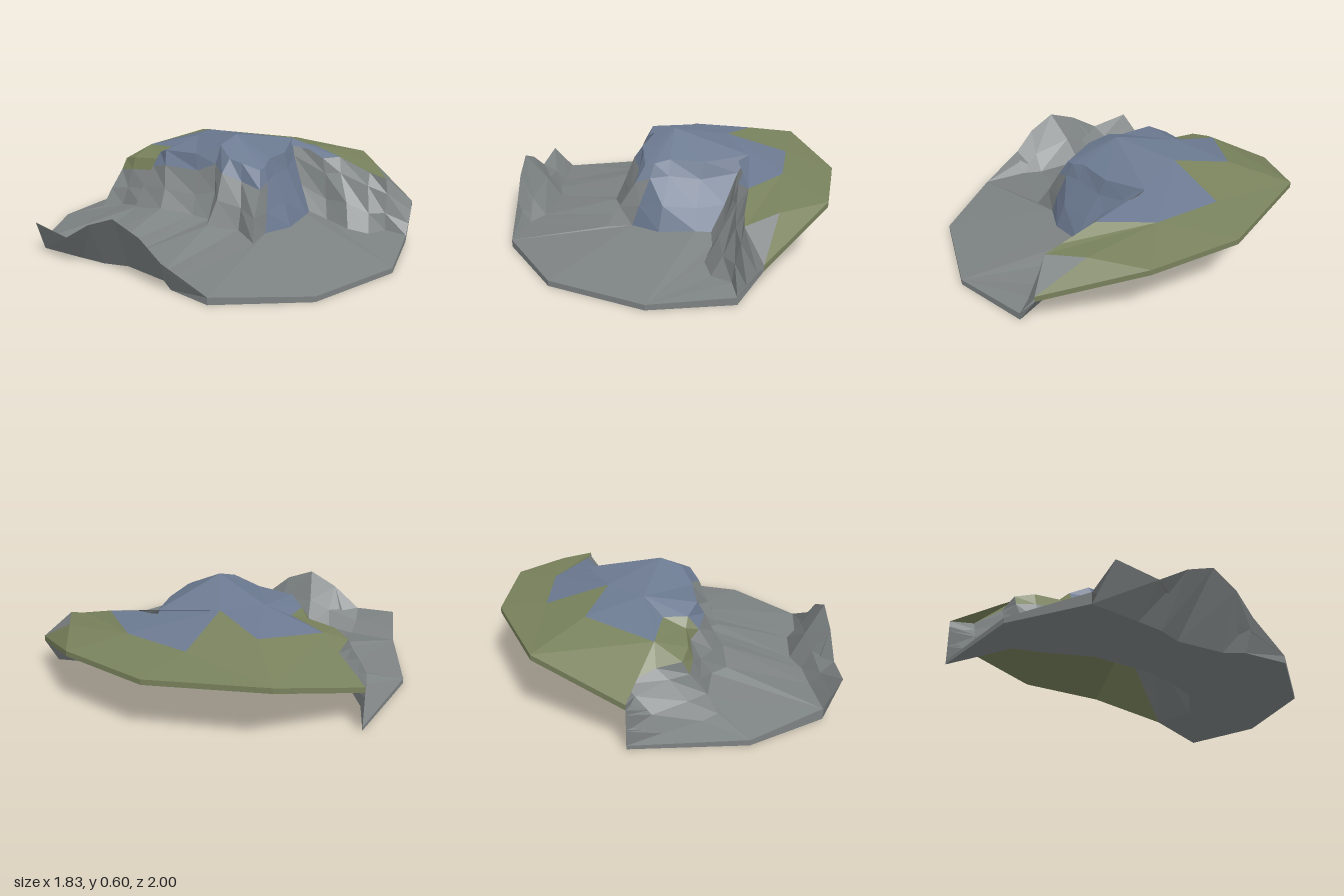
import * as THREE from 'three';

const material = (color) => new THREE.MeshStandardMaterial({ color, flatShading: true, side: THREE.DoubleSide });
const rock = material(0x7d8282), slate = material(0x6b7990), moss = material(0x78815c);

// Small seeded noise, -1..1
let seed = 7;
const noise = () => ((seed = (seed * 16807) % 2147483647) / 2147483647) * 2 - 1;

// Two triangles per cell between two lines of equal length
function strip(a, b) {
  const tris = [];
  for (let i = 0; i < a.length - 1; i++) {
    tris.push([a[i], b[i], a[i + 1]], [a[i + 1], b[i], b[i + 1]]);
  }
  return tris;
}

const fan = (centre, ring) => ring.slice(1).map((p, i) => [centre, ring[i], p]);

// Fills an outline as seen from above
function fill(points) {
  const flat = points.map(([x, , z]) => new THREE.Vector2(x, z));
  return THREE.ShapeUtils.triangulateShape(flat, []).map((f) => f.map((i) => points[i]));
}

// facing: 1 turns every triangle up, -1 down, 0 leaves it alone
function surface(group, name, mat, tris, facing = 0) {
  const out = [];
  for (const t of tris) {
    const [a, b, c] = t.map((p) => new THREE.Vector3(...p));
    const n = b.clone().sub(a).cross(c.clone().sub(a));
    if (n.length() < 1e-7) continue;
    const order = facing && n.y * facing < 0 ? [a, c, b] : [a, b, c];
    order.forEach((v) => out.push(v.x, v.y, v.z));
  }
  const geometry = new THREE.BufferGeometry();
  geometry.setAttribute('position', new THREE.Float32BufferAttribute(out, 3));
  geometry.computeVertexNormals();
  const mesh = new THREE.Mesh(geometry, mat);
  mesh.name = name;
  group.add(mesh);
}

// Row of points between two lines, roughened
const between = (a, b, t, rough) => a.map((p, i) => p.map((v, k) => {
  const end = i === 0 || i === a.length - 1;
  return v + (b[i][k] - v) * t + (end ? 0 : noise() * rough);
}));

export function createModel() {
  const group = new THREE.Group();
  group.name = 'rockyTerrain';
  seed = 7;

  // Foot and crest of the cliff, from the back round to the front
  const foot = [
    [0.17, 0.02, -1], [0, 0.04, -0.92], [-0.2, 0.06, -0.84], [-0.28, 0.08, -0.8],
    [-0.23, 0.1, -0.68], [-0.26, 0.14, -0.5], [-0.34, 0.16, -0.47], [-0.33, 0.19, -0.28],
    [-0.26, 0.17, -0.1], [-0.24, 0.16, 0], [-0.32, 0.16, 0.05], [-0.23, 0.14, 0.2],
    [-0.3, 0.12, 0.35], [-0.16, 0.13, 0.33], [0, 0.13, 0.39], [0.2, 0.14, 0.37],
    [0.28, 0.13, 0.34], [0.3, 0.1, 0.45], [0.28, 0.08, 0.6], [0.33, 0.06, 0.71],
    [0.44, 0.06, 0.76], [0.48, 0.04, 0.87],
  ];
  const crest = [
    [0.17, 0.25, -1], [0.18, 0.28, -0.86], [0.03, 0.32, -0.77], [-0.1, 0.35, -0.76],
    [-0.13, 0.38, -0.66], [-0.12, 0.4, -0.49], [-0.13, 0.45, -0.45], [-0.18, 0.49, -0.36],
    [-0.16, 0.5, -0.15], [-0.1, 0.56, -0.02], [-0.15, 0.51, 0.08], [-0.13, 0.49, 0.15],
    [-0.1, 0.46, 0.25], [-0.05, 0.47, 0.25], [0.03, 0.49, 0.22], [0.22, 0.48, 0.2],
    [0.45, 0.5, 0.1], [0.42, 0.42, 0.34], [0.48, 0.43, 0.42], [0.48, 0.37, 0.62],
    [0.49, 0.35, 0.72], [0.6, 0.21, 0.84],
  ];
  const low = between(foot, crest, 0.35, 0.015);
  const high = between(foot, crest, 0.75, 0.012);

  const cliff = (name, mat, from, to, rows) => {
    for (let r = 0; r < rows.length - 1; r++) {
      surface(group, name, mat, strip(rows[r].slice(from, to + 1), rows[r + 1].slice(from, to + 1)));
    }
  };
  cliff('cliffLower', rock, 0, 13, [foot, low, high]);
  cliff('cliffTopBack', rock, 0, 3, [high, crest]);
  cliff('cliffTopMoss', moss, 3, 6, [high, crest]);
  cliff('cliffTopSlate', slate, 6, 13, [high, crest]);
  cliff('cliffFront', slate, 13, 16, [foot, low, high, crest]);
  cliff('cliffCove', rock, 16, 21, [foot, low, high, crest]);

  // Curled ridge on the far side of the floor
  const ridgeTop = [
    [-0.92, 0.2, -0.66], [-0.92, 0.17, -0.42], [-0.92, 0.28, -0.25], [-0.91, 0.35, -0.08],
    [-0.89, 0.28, 0.08], [-0.87, 0.17, 0.2], [-0.82, 0.04, 0.45],
  ];
  const ridgeFoot = [
    [-0.82, 0.06, -0.72], [-0.79, 0.05, -0.45], [-0.77, 0.06, -0.3], [-0.72, 0.06, -0.17],
    [-0.74, 0.05, 0.1], [-0.8, 0.04, 0.2], [-0.82, 0.04, 0.45],
  ];
  const ridgeMid = between(ridgeFoot, ridgeTop, 0.45, 0.015);
  surface(group, 'ridgeInnerFace', rock, [...strip(ridgeFoot, ridgeMid), ...strip(ridgeMid, ridgeTop)], 1);
  const grounded = (line) => line.map(([x, , z]) => [x, 0, z]);
  surface(group, 'ridgeOuterFace', rock, strip(ridgeTop, grounded(ridgeFoot)));

  // Floor between the outer edge and the cliff foot
  const backEdge = [[0.17, 0.02, -1], [-0.43, 0.03, -0.96], ridgeFoot[0]];
  const frontEdge = [ridgeFoot[6], [-0.48, 0.03, 0.85], [0.05, 0.03, 1], [0.48, 0.04, 0.87]];
  const edge = [...backEdge, ...ridgeFoot.slice(1, 6), ...frontEdge];
  const partner = [0, 0, 1, 1, 2, 2, 3, 4, 5, 5, 6, 7, 8, 9, 10, 10, 10, 10, 10, 10, 11, 11];
  surface(group, 'floor', rock, strip(foot, partner.map((i) => edge[i])), 1);

  // Thin side and underside of the floor slab
  for (const line of [backEdge, frontEdge]) {
    surface(group, 'floorSide', rock, strip(line, grounded(line)));
  }
  const lip = [
    [0.17, 0, -1], [-0.2, 0, -0.8], [-0.24, 0, -0.66], [-0.34, 0, -0.41], [-0.33, 0, -0.06],
    [-0.25, 0, 0.18], [-0.18, 0, 0.32], [0.03, 0, 0.49], [0.28, 0, 0.44],
  ];
  surface(group, 'floorUnderside', rock, fill([...grounded(edge), ...lip.slice(1).reverse()]), -1);

  // Plateau: mossy margin around slate, rising to a peak
  const rim = [crest[0], [0.65, 0.38, -0.75], [0.91, 0.36, -0.16], [0.89, 0.36, 0.36], crest[21]];
  const peak = [0.02, 0.6, 0], brow = [0.65, 0.37, 0.57];
  const a = [0.04, 0.42, -0.68], b = [0.4, 0.47, -0.5], c = [0.3, 0.52, -0.2];
  const d = [0.64, 0.42, -0.23], e = [0.64, 0.42, 0.15], g = [0, 0.45, -0.46], q = [0.1, 0.52, -0.35];
  surface(group, 'plateauMoss', moss, [
    ...fan(a, [rim[1], ...crest.slice(0, 6), g]),
    [crest[5], crest[6], g], [a, b, rim[1]],
    ...fan(d, [c, b, rim[1], rim[2], e]),
    ...fan(e, [rim[2], rim[3], brow, ...crest.slice(18, 21).reverse()]),
    [rim[3], brow, crest[21]],
  ], 1);
  surface(group, 'plateauSlate', slate, [
    ...fan(q, [c, b, a, g, ...crest.slice(6, 9)]),
    ...fan(c, [crest[16], crest[18], e, d]),
    crest.slice(16, 19),
    ...fan(peak, [q, ...crest.slice(8, 17), c, q]),
  ], 1);
  surface(group, 'frontSlope', rock, [[brow, crest[20], crest[21]]], 1);

  // Overhanging rim and hollow underneath
  const rimLow = rim.map(([x, y, z]) => [x, y - 0.03, z]);
  surface(group, 'plateauRim', moss, strip(rim, rimLow));
  const hub = [0, 0.32, 0];
  const shelf = [[-0.14, 0.28, -0.32], [0.02, 0.3, -0.6], [0.21, 0.25, -0.84]];
  surface(group, 'overhangUnderside', moss, [
    ...fan(hub, [...shelf, ...rimLow.slice(0, 4)]),
    [hub, rimLow[3], lip[8]],
  ], -1);
  const wallTop = [rimLow[0], shelf[2], shelf[1], shelf[0], hub, hub, hub, hub, hub];
  const wallMid = between(lip, wallTop, 0.5, 0.025);
  surface(group, 'hollowWall', rock, [...strip(lip, wallMid), ...strip(wallMid, wallTop)]);

  // Closes the front corner below the plateau
  const corner = [0.48, 0, 0.87];
  surface(group, 'frontButtress', rock, [
    [rimLow[3], rimLow[4], lip[8]], [rimLow[4], corner, lip[8]], [rimLow[4], foot[21], corner],
  ]);
  return group;
}
